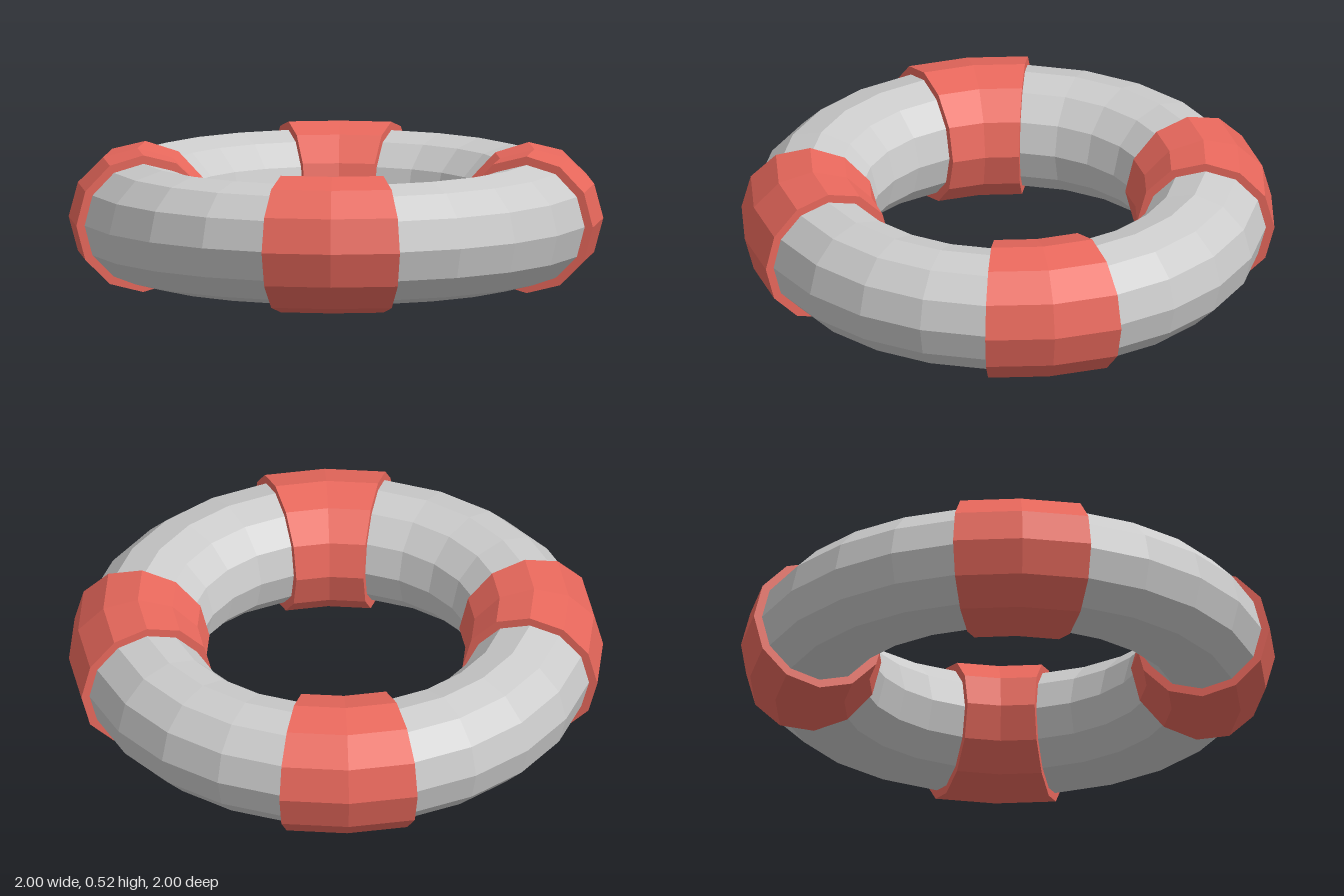
import * as THREE from 'three';
import { mergeGeometries } from 'three/addons/utils/BufferGeometryUtils.js';

const R = 0.755;         // ring centreline radius
const TUBE = 0.23;       // tube radius
const BAND = 0.2625;     // band radius, slightly fatter than the tube
const SIDES = 12;
const START = THREE.MathUtils.degToRad(10.8);
const ARC = Math.PI / 6; // angle covered by one band

// Horizontal torus, its arc running from +x towards -z
function flatTorus(radius, segments, arc) {
  return new THREE.TorusGeometry(R, radius, SIDES, segments, arc).rotateX(-Math.PI / 2);
}

// Band sleeve with a flat lip at each end
function bandGeometry() {
  const lip = () => new THREE.RingGeometry(TUBE - 0.005, BAND, SIDES, 1);
  return mergeGeometries([
    flatTorus(BAND, 2, ARC),
    lip().translate(R, 0, 0),
    lip().rotateY(Math.PI).translate(R, 0, 0).rotateY(ARC),
  ]);
}

export function createModel() {
  const group = new THREE.Group();
  group.name = 'lifebuoy';
  const grey = new THREE.MeshStandardMaterial({ color: 0xcccccc, flatShading: true });
  const red = new THREE.MeshStandardMaterial({ color: 0xe8685c, flatShading: true });

  // Float ring, its facets lined up with the bands
  const ring = new THREE.Mesh(flatTorus(TUBE, 24, Math.PI * 2), grey);
  ring.name = 'floatRing';
  ring.rotation.y = START;
  ring.position.y = BAND;
  group.add(ring);

  // Four bands, a quarter turn apart
  const geometry = bandGeometry();
  for (let i = 0; i < 4; i++) {
    const band = new THREE.Mesh(geometry, red);
    band.name = `band${i + 1}`;
    band.rotation.y = START + (i * Math.PI) / 2;
    band.position.y = BAND;
    group.add(band);
  }
  return group;
}
